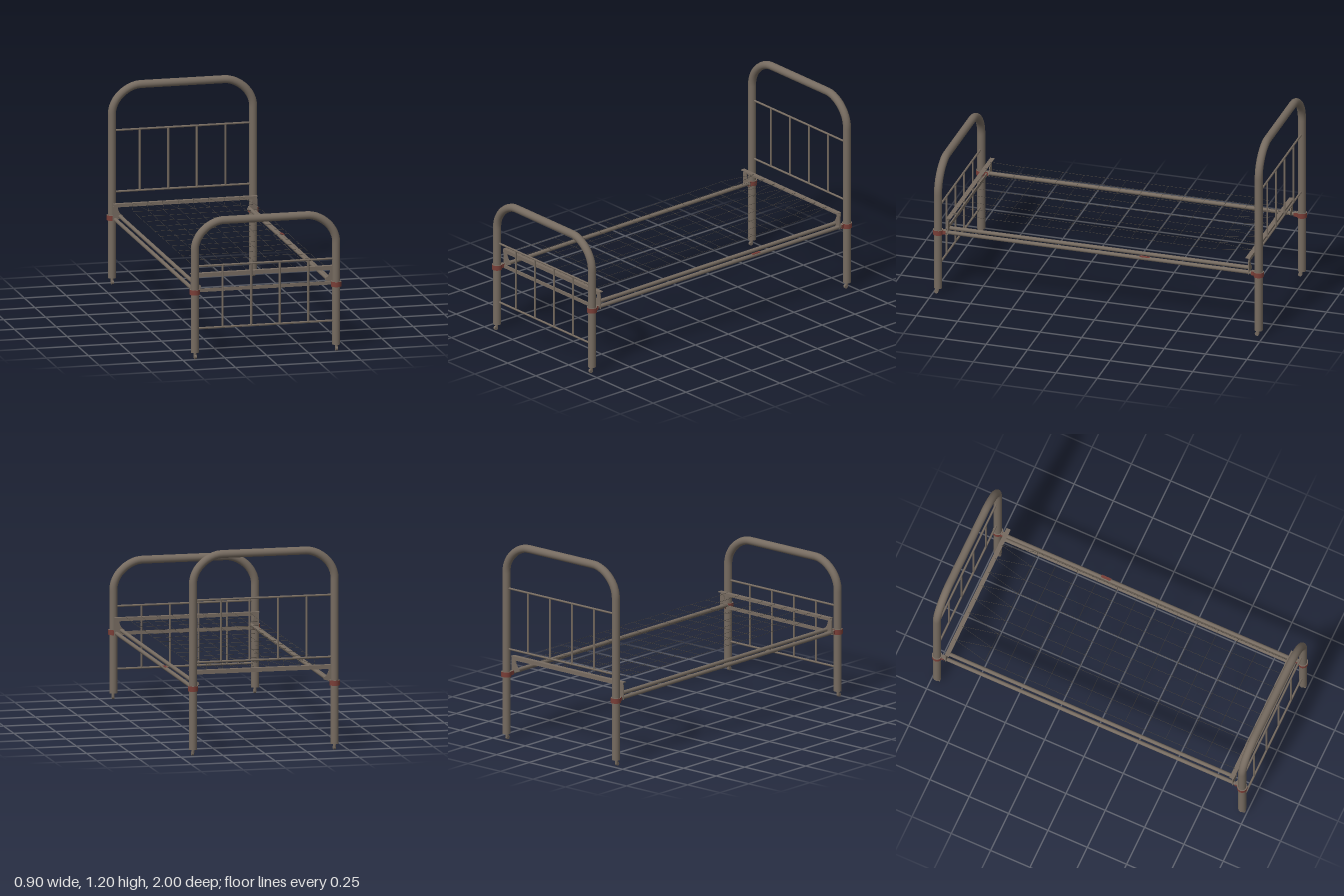
import * as THREE from 'three';
import { mergeGeometries } from 'three/addons/utils/BufferGeometryUtils.js';

const V = (x, y, z) => new THREE.Vector3(x, y, z);

export function createModel() {
  const paint = new THREE.MeshStandardMaterial({ name: 'grey brown paint', color: 0x766b60 });
  const rust = new THREE.MeshStandardMaterial({ name: 'rusty red', color: 0x793e37 });
  const wireMat = new THREE.MeshStandardMaterial({ name: 'dark wire', color: 0x4a453f });
  const model = new THREE.Group();
  model.name = 'bed';

  const X = 0.4215, R = 0.0235;

  const add = (parent, name, geo, mat = paint, x = 0, y = 0, z = 0) => {
    const m = new THREE.Mesh(geo, mat);
    m.name = name;
    m.position.set(x, y, z);
    parent.add(m);
    return m;
  };
  const box = (parent, name, w, h, d, x, y, z, mat = paint) =>
    add(parent, name, new THREE.BoxGeometry(w, h, d), mat, x, y, z);

  // round rod between two points
  const rod = (a, b, r, sides = 10) => {
    const dir = b.clone().sub(a);
    const g = new THREE.CylinderGeometry(r, r, dir.length(), sides);
    g.applyQuaternion(new THREE.Quaternion().setFromUnitVectors(V(0, 1, 0), dir.normalize()));
    const c = a.clone().add(b).multiplyScalar(0.5);
    return g.translate(c.x, c.y, c.z);
  };

  // one bent tube forming both legs and the arch
  const archGeometry = (top) => {
    const path = new THREE.CurvePath();
    const t = top - R, c = 0.17, k = c * 0.4;
    const bend = (s) => [V(s * X, t - c, 0), V(s * X, t - k, 0), V(s * (X - c + k), t, 0), V(s * (X - c), t, 0)];
    path.add(new THREE.LineCurve3(V(-X, 0.037, 0), V(-X, t - c, 0)));
    path.add(new THREE.CubicBezierCurve3(...bend(-1)));
    path.add(new THREE.LineCurve3(V(-X + c, t, 0), V(X - c, t, 0)));
    path.add(new THREE.CubicBezierCurve3(...bend(1).reverse()));
    path.add(new THREE.LineCurve3(V(X, t - c, 0), V(X, 0.037, 0)));
    return new THREE.TubeGeometry(path, 120, R, 16);
  };

  // headboard and footboard
  const buildEnd = (name, z, top, low, high) => {
    const end = new THREE.Group();
    end.name = name;
    end.position.z = z;
    model.add(end);
    add(end, 'archTube', archGeometry(top));
    for (const y of [low, high]) {
      add(end, 'crossRod', rod(V(-X, y, 0), V(X, y, 0), 0.0062));
    }
    for (const x of [-0.255, -0.085, 0.085, 0.255]) {
      add(end, 'spindle', rod(V(x, low, 0), V(x, high, 0), 0.006));
    }
    for (const s of [-1, 1]) {
      add(end, 'collar', new THREE.CylinderGeometry(0.03, 0.03, 0.03, 16), [rust, paint, paint], s * X, 0.395, 0);
      // ear holding the rail, red on its sides only
      box(end, 'collarEar', 0.024, 0.024, 0.025, s * 0.416, 0.395, -Math.sign(z) * 0.033,
        [rust, rust, paint, paint, paint, paint]);
      add(end, 'legCap', new THREE.CylinderGeometry(R, R, 0.004, 16), paint, s * X, 0.038, 0);
      add(end, 'casterStem', new THREE.CylinderGeometry(0.009, 0.009, 0.025, 8), paint, s * X, 0.027, 0.004);
      const wheel = add(end, 'casterWheel', new THREE.CylinderGeometry(0.012, 0.012, 0.014, 12), paint, s * X, 0.012, 0.01);
      wheel.rotation.z = Math.PI / 2;
    }
  };
  buildEnd('headboard', -0.97, 1.2, 0.547, 0.911);
  buildEnd('footboard', 0.97, 0.835, 0.178, 0.546);
  box(model, 'footCrossBar', 0.8, 0.02, 0.008, 0, 0.393, 0.932);

  // side rails: an outer bar into the collars and a higher inner bar
  for (const s of [-1, 1]) {
    const rail = new THREE.Group();
    rail.name = 'sideRail';
    model.add(rail);
    add(rail, 'outerBar', rod(V(s * 0.416, 0.395, -0.945), V(s * 0.416, 0.395, 0.945), 0.0115, 12));
    add(rail, 'innerBar', rod(V(s * 0.387, 0.411, -0.912), V(s * 0.387, 0.411, 0.912), 0.0115, 12));
  }
  box(model, 'railRust', 0.016, 0.003, 0.06, 0.418, 0.4058, -0.28, rust);

  // angle irons carrying the mesh, with curved gussets at the corners
  const gusset = new THREE.Shape();
  gusset.moveTo(0.43, 0.385);
  gusset.lineTo(0.37, 0.405);
  gusset.lineTo(0.372, 0.418);
  gusset.quadraticCurveTo(0.398, 0.43, 0.402, 0.472);
  gusset.lineTo(0.43, 0.472);
  const gussetGeo = new THREE.ExtrudeGeometry(gusset, { depth: 0.006, bevelEnabled: false });
  for (const e of [-1, 1]) {
    const iron = new THREE.Group();
    iron.name = 'endAngleIron';
    model.add(iron);
    box(iron, 'ironFace', 0.86, 0.024, 0.005, 0, 0.478, e * 0.914);
    box(iron, 'ironTop', 0.86, 0.004, 0.027, 0, 0.488, e * 0.905);
    for (const s of [-1, 1]) {
      const g = add(iron, 'gusset', gussetGeo, paint, 0, 0, e * 0.911 - 0.003 * s);
      if (s < 0) g.rotation.y = Math.PI;
    }
  }

  // wire mesh: lengthwise and crosswise wires, with fanned links at the head
  const wires = [];
  const wire = (a, b) => wires.push(rod(a, b, 0.001, 4));
  const rows = 12, cols = 9, z0 = -0.69, dz = 0.1275, dx = 0.0915;
  const at = (i, j) => V((i - (cols - 1) / 2) * dx, 0.491 - 0.003 * Math.abs(Math.sin(i * 2 + j)), z0 + j * dz);
  for (let i = 0; i < cols; i++) {
    for (let j = 0; j < rows; j++) {
      if (i + 1 < cols) wire(at(i, j), at(i + 1, j));
      if (j + 1 < rows) wire(at(i, j), at(i, j + 1));
    }
    const x = at(i, 0).x;
    for (const s of [-0.5, 0.5]) {
      const tip = x + s * dx;
      if (Math.abs(tip) < 0.4) wire(at(i, 0), V(tip, 0.493, -0.9));
    }
    wire(at(i, rows - 1), V(x, 0.493, 0.9));
  }
  add(model, 'wireMesh', mergeGeometries(wires), wireMat);

  return model;
}
